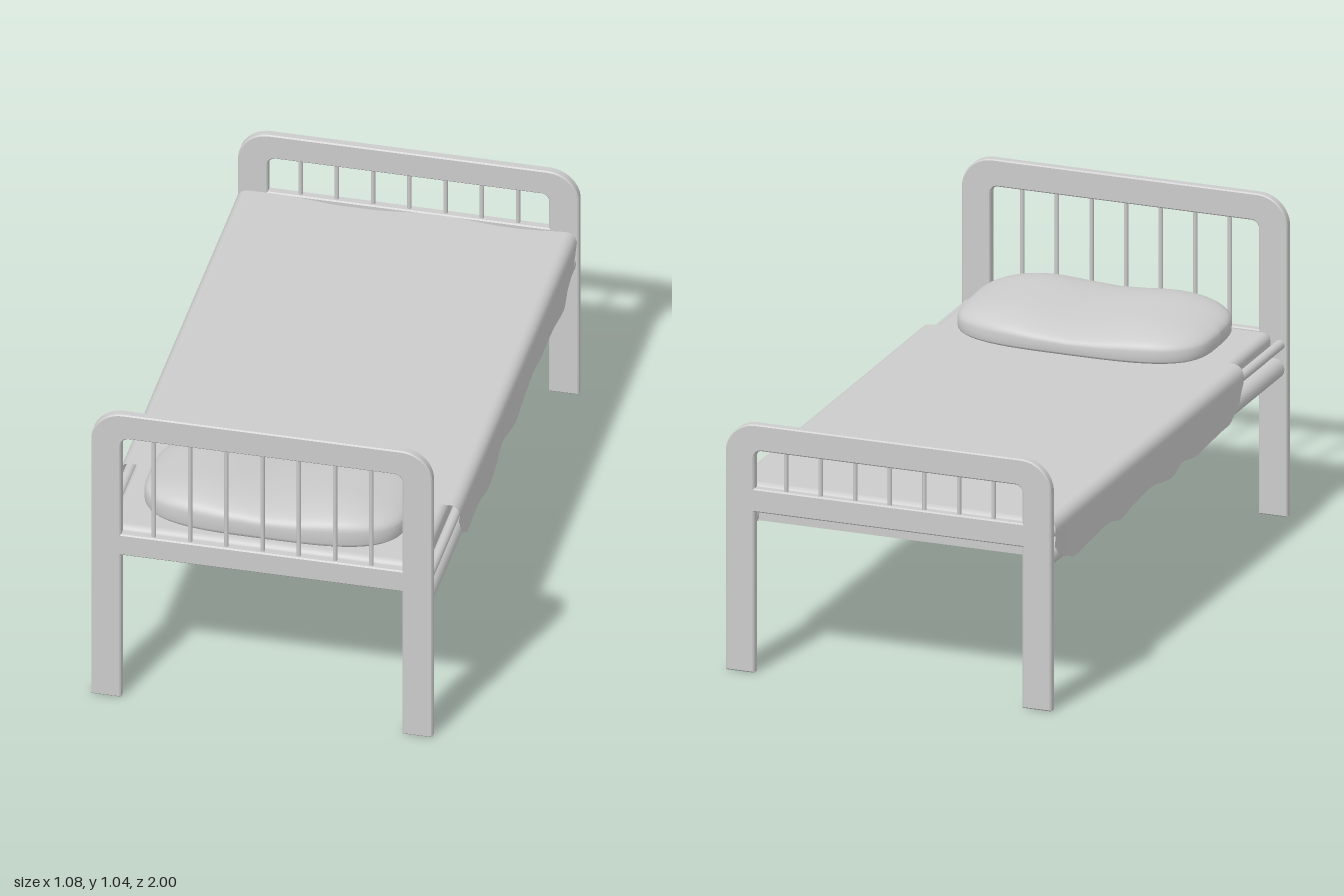
import * as THREE from 'three';
import { toCreasedNormals } from 'three/addons/utils/BufferGeometryUtils.js';
import { RoundedBoxGeometry } from 'three/addons/geometries/RoundedBoxGeometry.js';

const grey = new THREE.MeshStandardMaterial({ color: 0xcccccc });
const cloth = new THREE.MeshStandardMaterial({ color: 0xcccccc, side: THREE.DoubleSide });

function add(parent, name, geometry, x = 0, y = 0, z = 0, material = grey) {
  const mesh = new THREE.Mesh(geometry, material);
  mesh.name = name;
  mesh.position.set(x, y, z);
  parent.add(mesh);
  return mesh;
}

// Arched end frame with two legs, a crossbar and seven spindles
function endFrame(name, z, top, windowTop) {
  const W = 0.541, R = 0.1, I = 0.446, r = 0.025, barLow = 0.526, barHigh = 0.602;
  const s = new THREE.Shape();
  s.moveTo(-W, 0);
  s.lineTo(-I, 0);
  s.lineTo(-I, barLow);
  s.lineTo(I, barLow);
  s.lineTo(I, 0);
  s.lineTo(W, 0);
  s.lineTo(W, top - R);
  s.absarc(W - R, top - R, R, 0, Math.PI / 2, false);
  s.absarc(-W + R, top - R, R, Math.PI / 2, Math.PI, false);
  s.closePath();

  const hole = new THREE.Path();
  hole.moveTo(-I, barHigh);
  hole.lineTo(-I, windowTop - r);
  hole.absarc(-I + r, windowTop - r, r, Math.PI, Math.PI / 2, true);
  hole.absarc(I - r, windowTop - r, r, Math.PI / 2, 0, true);
  hole.lineTo(I, barHigh);
  hole.closePath();
  s.holes.push(hole);

  const geo = new THREE.ExtrudeGeometry(s, {
    depth: 0.022, bevelThickness: 0.004, bevelSize: 0.004, bevelOffset: -0.004,
    bevelSegments: 1, curveSegments: 6,
  });
  geo.translate(0, 0, -0.011);

  const group = new THREE.Group();
  group.name = name;
  group.position.z = z;
  add(group, 'frame', toCreasedNormals(geo, 0.4));
  const h = windowTop - barHigh + 0.01;
  for (let i = -3; i <= 3; i++) {
    add(group, 'spindle', new THREE.CylinderGeometry(0.007, 0.007, h, 10), i * 0.115, (windowTop + barHigh) / 2, 0);
  }
  return group;
}

// Pillow: a sphere pushed to a rounded rectangle, flat below, dented in the middle
function pillowGeometry() {
  const geo = new THREE.SphereGeometry(1, 64, 40);
  const p = geo.attributes.position;
  const spow = (v, e) => Math.sign(v) * Math.pow(Math.abs(v), e);
  for (let i = 0; i < p.count; i++) {
    const a = p.getX(i), b = THREE.MathUtils.clamp(p.getY(i), -1, 1), c = p.getZ(i);
    const rho = Math.hypot(a, c);
    const ca = rho > 1e-6 ? a / rho : 0, cc = rho > 1e-6 ? c / rho : 0;
    const u = spow(ca, 0.58) * rho, w = spow(cc, 0.58) * rho;
    const middle = 0.65 + 0.01 * w;
    const dent = 0.042 * Math.exp(-Math.pow(u / 0.45, 2));
    const up = 0.1 - dent + 0.008 * w - 0.025 * u * u;
    const y = b > 0 ? middle + up * Math.pow(b, 0.6) : middle - (middle - 0.6) * Math.pow(-b, 0.4);
    p.setXYZ(i, 0.42 * u, y, 0.722 + 0.24 * w);
  }
  geo.computeVertexNormals();
  return geo;
}

// Wavy hem heights along z, one list for each side
const hemZ = [-0.95, -0.91, -0.85, -0.79, -0.65, -0.5, -0.4, -0.3, -0.15, 0.03, 0.12, 0.22, 0.35, 0.5, 0.57, 0.61, 0.625];
const hemLeft = [0.52, 0.485, 0.475, 0.432, 0.442, 0.452, 0.462, 0.445, 0.435, 0.462, 0.436, 0.425, 0.444, 0.445, 0.48, 0.54, 0.58];
const hemRight = [0.52, 0.485, 0.46, 0.44, 0.45, 0.455, 0.437, 0.45, 0.458, 0.436, 0.455, 0.44, 0.448, 0.45, 0.48, 0.54, 0.58];

function hemAt(list, z) {
  let i = 0;
  while (i < hemZ.length - 2 && z > hemZ[i + 1]) i++;
  const t = THREE.MathUtils.clamp((z - hemZ[i]) / (hemZ[i + 1] - hemZ[i]), 0, 1);
  return THREE.MathUtils.lerp(list[i], list[i + 1], t * t * (3 - 2 * t));
}

// Blanket: cross-sections lofted along z
function blanketGeometry() {
  const rows = 120, z0 = -0.953, z1 = 0.615, top = 0.611, half = 0.539, r = 0.035;
  const pos = [], index = [];
  // Side profile from hem to the top edge
  const side = (sign, z) => {
    const hem = hemAt(sign > 0 ? hemLeft : hemRight, z);
    const out = [];
    for (let k = 0; k <= 6; k++) {
      const t = k / 6;
      const tuck = (1 - t) * (0.004 + 0.002 * Math.sin(z * 19 + sign));
      out.push([sign * (half - tuck), THREE.MathUtils.lerp(hem, top - r, t)]);
    }
    for (let k = 1; k <= 5; k++) {
      const a = k / 5 * Math.PI / 2;
      out.push([sign * (half - r + r * Math.cos(a)), top - r + r * Math.sin(a)]);
    }
    return out;
  };
  let cols = 0;
  for (let j = 0; j <= rows; j++) {
    const t = j / rows, z = z0 + (z1 - z0) * t;
    const flat = [];
    for (let k = 1; k < 20; k++) flat.push([-(half - r) + 2 * (half - r) * k / 20, top]);
    const section = [...side(-1, z), ...flat, ...side(1, z).reverse()];
    cols = section.length;
    for (const [x, y] of section) {
      const inner = 1 - Math.pow(Math.min(1, Math.abs(x) / half), 4);
      const backWave = 0.011 * (1 - Math.cos(x * 12 - 1.2)) * inner * Math.pow(1 - t, 12);
      const frontWave = 0.015 * inner * Math.pow(t, 12);
      pos.push(x, y, z + backWave + frontWave);
    }
  }
  for (let j = 0; j < rows; j++) {
    for (let i = 0; i < cols - 1; i++) {
      const a = j * cols + i, b = a + 1, c = a + cols, d = c + 1;
      index.push(a, c, b, b, c, d);
    }
  }
  const geo = new THREE.BufferGeometry();
  geo.setAttribute('position', new THREE.Float32BufferAttribute(pos, 3));
  geo.setIndex(index);
  geo.computeVertexNormals();
  return geo;
}

export function createModel() {
  const bed = new THREE.Group();
  bed.name = 'bed';

  bed.add(endFrame('headboard', 0.985, 1.045, 0.957));
  bed.add(endFrame('footboard', -0.985, 0.812, 0.727));

  // On each side a thick lower rail and a thin upper one
  for (const sx of [-1, 1]) {
    for (const [name, radius, x, y] of [['sideRail', 0.033, 0.499, 0.483], ['upperRail', 0.016, 0.517, 0.562]]) {
      const rail = add(bed, name, new THREE.CylinderGeometry(radius, radius, 1.95, 20), sx * x, y, 0);
      rail.rotation.x = Math.PI / 2;
    }
  }

  // Slats under the mattress
  for (let i = -3; i <= 3; i++) {
    add(bed, 'slat', new THREE.BoxGeometry(0.98, 0.053, 0.13), 0, 0.493, i * 0.28);
  }

  add(bed, 'mattress', new RoundedBoxGeometry(0.992, 0.086, 1.925, 5, 0.025), 0, 0.563, 0);
  add(bed, 'blanket', blanketGeometry(), 0, 0, 0, cloth);
  add(bed, 'pillow', pillowGeometry());
  return bed;
}
